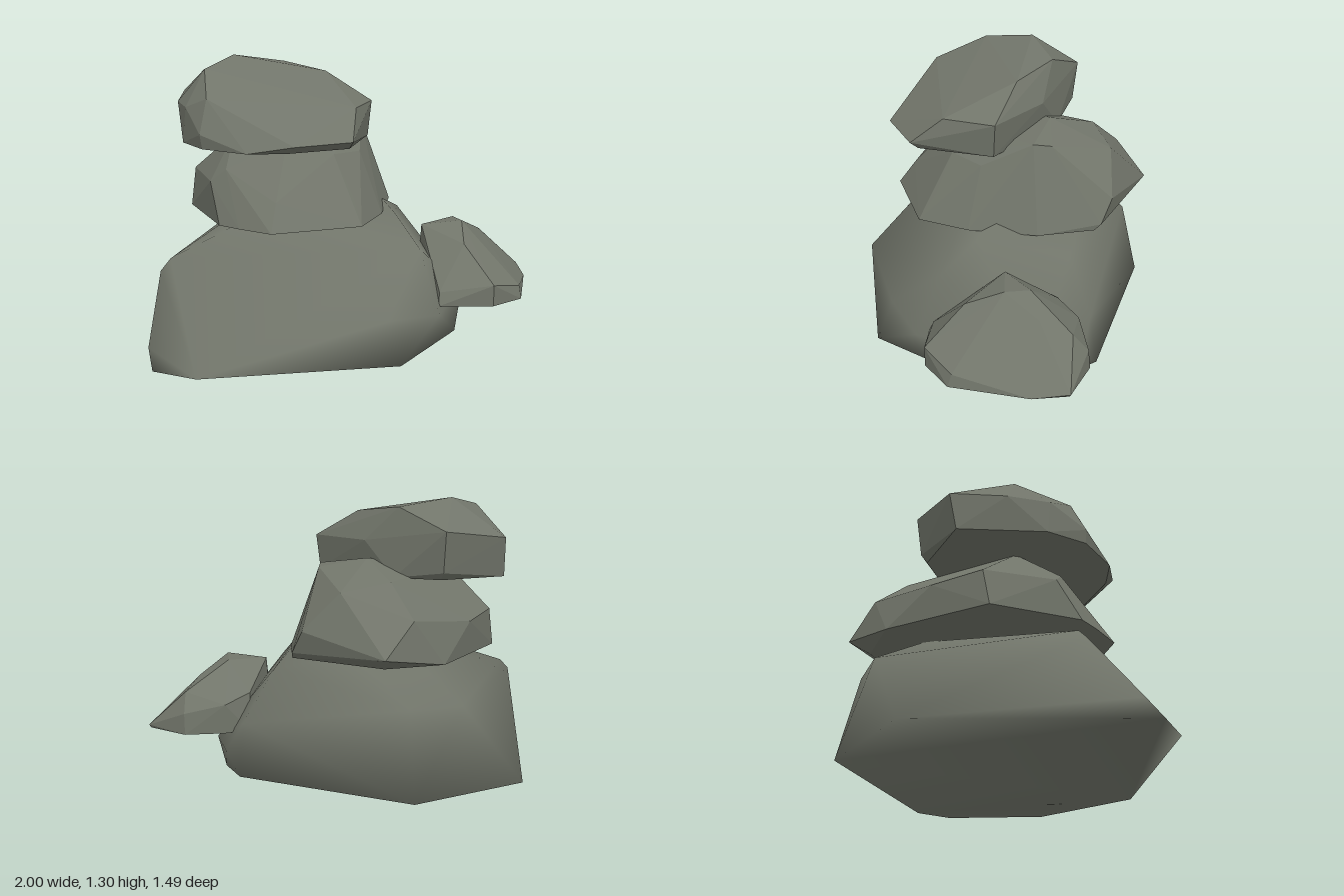
import * as THREE from 'three';
import { ConvexGeometry } from 'three/addons/geometries/ConvexGeometry.js';

const stone = new THREE.MeshStandardMaterial({ color: 0x71756a });
stone.name = 'grey green stone';

// Give every corner the plain average of the normals of the faces that meet there
function smoothNormals(geometry) {
  const { position, normal } = geometry.attributes;
  const sums = new Map();
  const key = (i) => [position.getX(i), position.getY(i), position.getZ(i)].join();
  const n = new THREE.Vector3();
  for (let i = 0; i < position.count; i++) {
    if (!sums.has(key(i))) sums.set(key(i), new THREE.Vector3());
    sums.get(key(i)).add(n.fromBufferAttribute(normal, i));
  }
  for (let i = 0; i < position.count; i++) {
    n.copy(sums.get(key(i))).normalize();
    normal.setXYZ(i, n.x, n.y, n.z);
  }
}

// A boulder is the hull of a flat underside (x, z pairs) and a few upper corners (x, y, z)
function boulder(name, floorY, underside, corners) {
  const geometry = new ConvexGeometry([
    ...underside.map(([x, z]) => new THREE.Vector3(x, floorY, z)),
    ...corners.map((p) => new THREE.Vector3(...p)),
  ]);
  const mesh = new THREE.Mesh(geometry, stone);
  mesh.name = name;
  return mesh;
}

export function createModel() {
  const group = new THREE.Group();
  group.name = 'rockStack';

  // Large smooth boulder on the ground
  const baseRock = boulder('baseRock', 0,
    [[-1, 0.36], [-0.85, 0.52], [0.02, 0.745], [0.46, 0.46], [0.65, 0.02],
      [0.62, -0.16], [-0.04, -0.745], [-0.62, -0.63]],
    [[-0.995, 0.08, 0.28], [0.665, 0.1, -0.06], [0.66, 0.1, 0.19], [0.595, 0.25, -0.13],
      [0, 0.18, 0.655], [0.28, 0.16, 0.625], [0.25, 0.44, 0.48],
      [-0.88, 0.365, 0.09], [-0.83, 0.415, 0.08], [-0.35, 0.59, 0.05],
      [0.2, 0.625, 0.17], [0.22, 0.57, 0.28], [0.43, 0.5, -0.1],
      [-0.3, 0.4, -0.65], [-0.05, 0.4, -0.65], [-0.15, 0.59, -0.38], [0.1, 0.59, -0.35]]);
  smoothNormals(baseRock.geometry);
  group.add(baseRock);

  // Faceted boulder in the middle of the stack
  group.add(boulder('middleRock', 0.58,
    [[-0.47, 0.44], [-0.05, 0.48], [0.14, 0.3], [0.32, 0.02], [0.38, -0.25],
      [0.05, -0.59], [-0.235, -0.59], [-0.63, -0.24], [-0.63, 0.2], [-0.57, 0.3]],
    [[0.08, 0.64, -0.69], [0.39, 0.61, -0.28], [0.36, 0.72, -0.35],
      [-0.6, 0.76, -0.26], [-0.63, 0.76, 0.08], [-0.57, 0.82, 0.13], [-0.47, 0.95, -0.05],
      [-0.3, 0.94, 0.2], [-0.1, 0.88, 0.28], [-0.42, 0.7, 0.37],
      [-0.05, 0.7, 0.39], [0.07, 0.87, 0.2], [0.18, 0.985, -0.02],
      [0.21, 0.975, -0.1], [0, 1.02, -0.19], [-0.03, 0.94, -0.44],
      [0.2, 0.9, -0.42], [-0.08, 0.79, -0.61], [-0.42, 0.74, -0.44]]));

  // Faceted boulder on top, sloping down to the front
  group.add(boulder('topRock', 0.935,
    [[-0.73, 0], [-0.7, 0.2], [-0.56, 0.39], [-0.4, 0.45], [-0.1, 0.45], [0.13, 0.16],
      [-0.1, -0.28], [-0.28, -0.42], [-0.61, -0.39]],
    [[-0.38, 0.97, 0.5], [-0.1, 0.97, 0.49], [-0.02, 1.1, 0.35],
      [0.15, 1.1, 0.16], [-0.01, 1.23, -0.02], [-0.13, 1.26, -0.26],
      [-0.39, 1.3, -0.27], [-0.59, 1.255, -0.1], [-0.66, 1.15, 0.15],
      [-0.71, 1, 0.2], [-0.72, 1.1, 0.02], [-0.7, 1.1, -0.18],
      [-0.6, 1.12, -0.42], [-0.28, 1.16, -0.475], [-0.28, 0.97, -0.45],
      [0, 1.1, -0.15]]));

  // Small faceted boulder leaning on the base
  group.add(boulder('sideRock', 0.18,
    [[0.305, 0.57], [0.38, 0.22], [0.54, -0.02], [0.66, -0.035], [0.85, 0],
      [0.99, 0.17], [0.94, 0.33], [0.72, 0.63], [0.54, 0.67]],
    [[1, 0.195, 0.17], [0.54, 0.28, 0.67], [0.32, 0.24, 0.55],
      [0.4, 0.48, 0.22], [0.58, 0.5, 0.3], [0.6, 0.49, 0.18],
      [0.5, 0.43, 0.46], [0.74, 0.42, 0.2], [0.83, 0.37, 0.08], [0.85, 0.28, 0.01],
      [0.66, 0.32, -0.035], [0.53, 0.36, 0.01], [0.72, 0.24, 0.61]]));

  return group;
}
